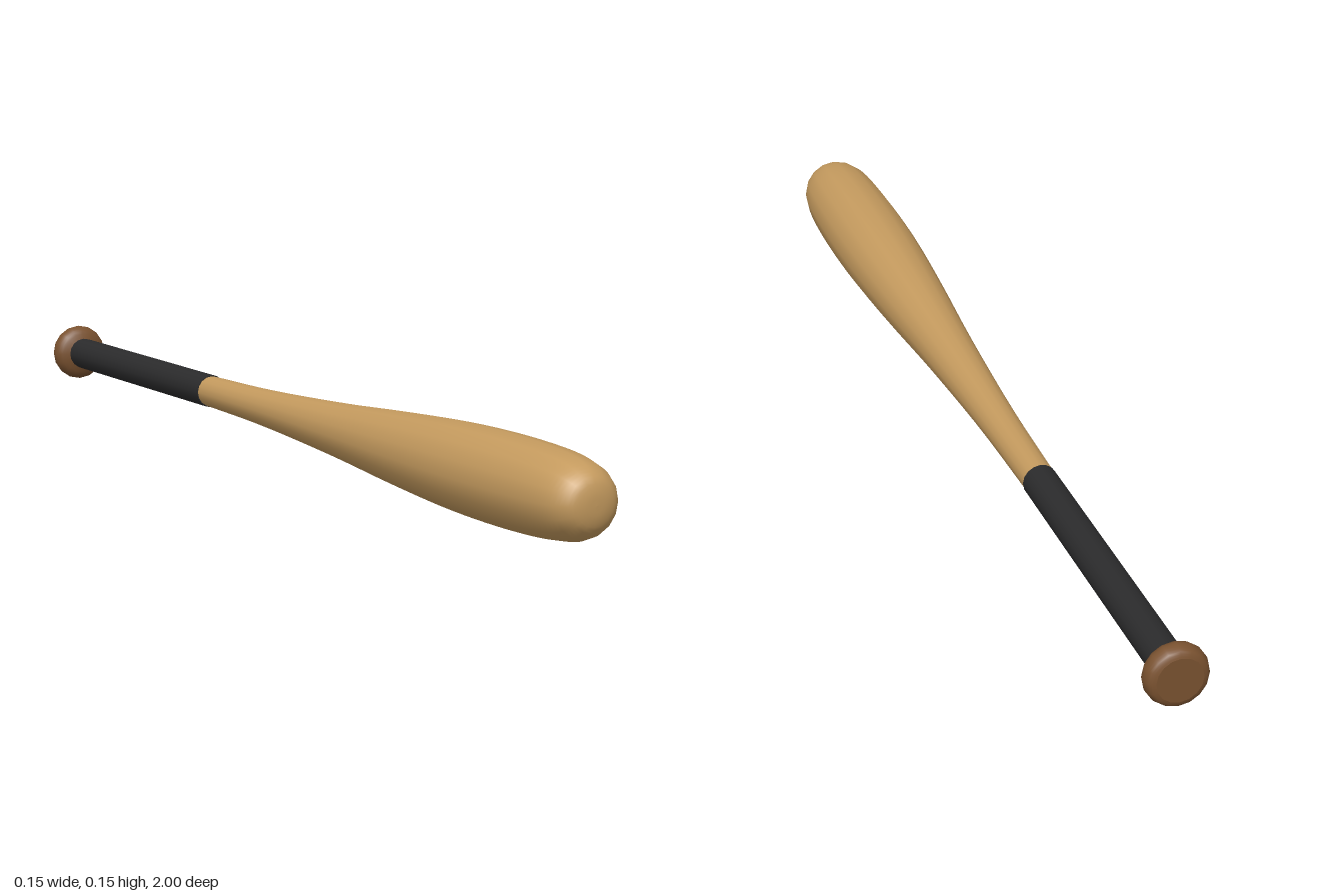
import * as THREE from 'three';

const SIDES = 16;
const AXIS_HEIGHT = 0.077;

// Revolves a [radius, z] profile (listed back to front) around the z axis
function turned(name, profile, material, steps = 0) {
  let points = profile.map(([r, z]) => new THREE.Vector2(r, z));
  if (steps) points = new THREE.SplineCurve(points).getPoints(steps);
  points.forEach((p) => { p.x = Math.max(p.x, 0); });
  const geometry = new THREE.LatheGeometry(points, SIDES);
  geometry.rotateX(Math.PI / 2);
  const mesh = new THREE.Mesh(geometry, material);
  mesh.name = name;
  mesh.position.y = AXIS_HEIGHT;
  return mesh;
}

export function createModel() {
  const wood = new THREE.MeshStandardMaterial({ name: 'light wood', color: 0xc49a5e });
  const darkWood = new THREE.MeshStandardMaterial({ name: 'dark wood', color: 0x7a5230 });
  const wrap = new THREE.MeshStandardMaterial({ name: 'black grip wrap', color: 0x2b2b2c });

  const bat = new THREE.Group();
  bat.name = 'bat';

  // Tapered barrel with a rounded end
  bat.add(turned('barrel', [
    [0.029, -0.36], [0.03, -0.3], [0.033, -0.15], [0.039, 0], [0.05, 0.2],
    [0.064, 0.4], [0.074, 0.58], [0.077, 0.72], [0.0755, 0.83], [0.071, 0.91],
    [0.062, 0.96], [0.045, 0.988], [0.023, 0.998], [0, 1],
  ], wood, 52));

  // Wrapped handle, closed by a small lip at the front
  bat.add(turned('grip', [
    [0.03, -0.97], [0.031, -0.95], [0.031, -0.342],
  ], wrap));
  bat.add(turned('gripLip', [[0.031, -0.342], [0.028, -0.342]], wrap));

  // Knob: flat end face and rounded rim
  bat.add(turned('knobEnd', [[0, -1], [0.04, -1]], darkWood));
  bat.add(turned('knobRim', [
    [0.04, -1], [0.05, -0.995], [0.055, -0.982], [0.054, -0.971],
    [0.046, -0.96], [0.03, -0.953],
  ], darkWood, 15));

  return bat;
}
